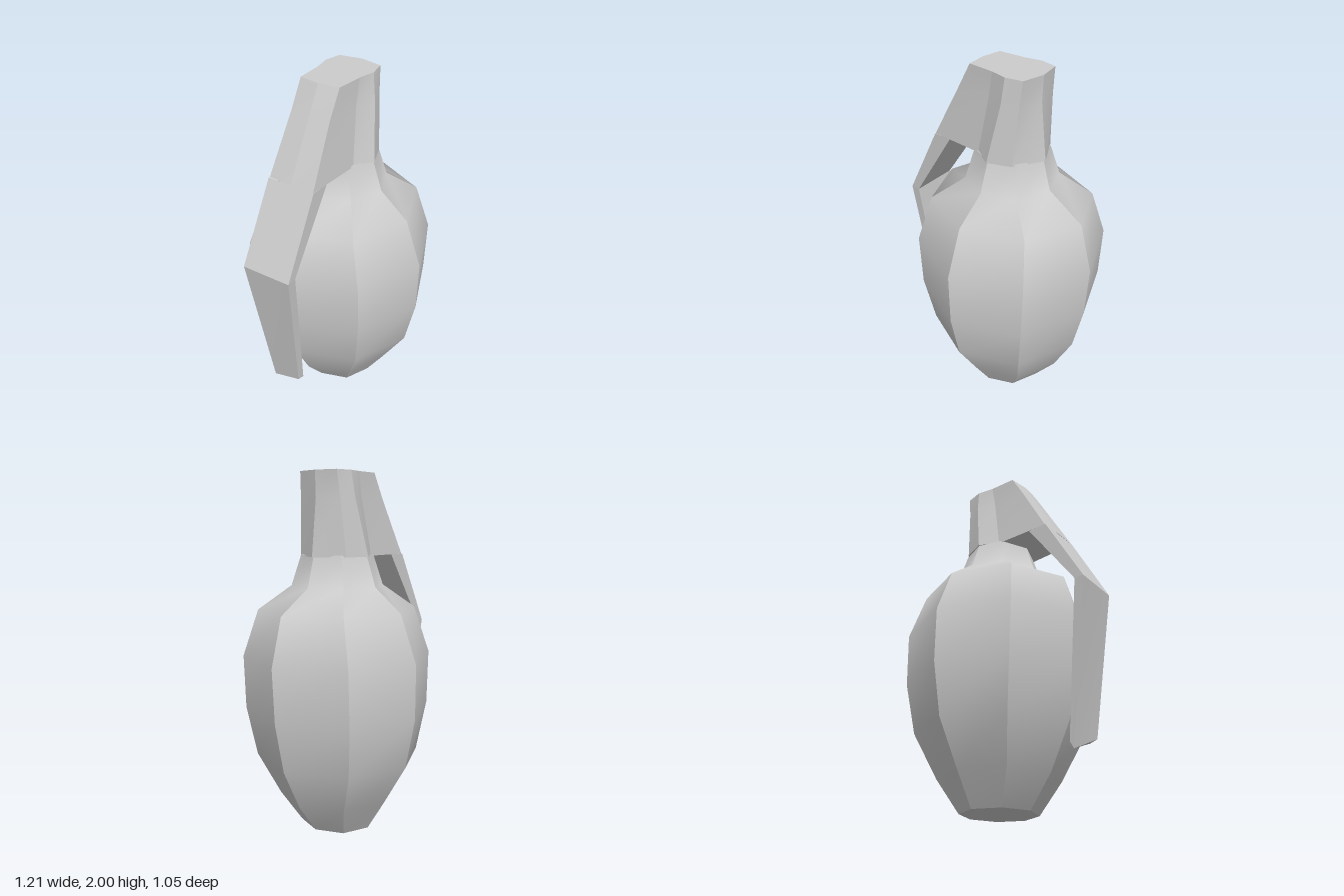
import * as THREE from 'three';

// Loft through rings of [x, y, z], listed upward and counterclockwise from above.
// Each side is its own strip: smooth along its height, sharp between sides.
function loft(name, rings, material, bottom = true, top = true) {
  const pos = [], index = [];
  const n = rings[0].length;
  for (let j = 0; j < n; j++) {
    const base = pos.length / 3;
    rings.forEach((ring, i) => {
      pos.push(...ring[j], ...ring[(j + 1) % n]);
      if (i === 0) return;
      const a = base + 2 * (i - 1);
      index.push(a, a + 1, a + 3, a, a + 3, a + 2);
    });
  }
  const close = (ring, up) => {
    const base = pos.length / 3;
    ring.forEach((p) => pos.push(...p));
    const flat = ring.map(([x, , z]) => new THREE.Vector2(x, -z));
    for (const [a, b, c] of THREE.ShapeUtils.triangulateShape(flat, [])) {
      index.push(base + a, base + (up ? b : c), base + (up ? c : b));
    }
  };
  if (bottom) close(rings[0], false);
  if (top) close(rings[rings.length - 1], true);
  const geometry = new THREE.BufferGeometry();
  geometry.setAttribute('position', new THREE.Float32BufferAttribute(pos, 3));
  geometry.setIndex(index);
  geometry.computeVertexNormals();
  const mesh = new THREE.Mesh(geometry, material);
  mesh.name = name;
  return mesh;
}

export function createModel() {
  const group = new THREE.Group();
  group.name = 'grenade';
  const grey = new THREE.MeshStandardMaterial({ color: 0xcccccc });

  // Eight-sided body with shoulder and neck: [y, radius in x, radius in z]
  const profile = [
    [0, 0.205, 0.22], [0.18, 0.34, 0.33], [0.42, 0.46, 0.47], [0.7, 0.52, 0.525],
    [1.0, 0.535, 0.525], [1.26, 0.46, 0.425], [1.39, 0.25, 0.26], [1.56, 0.2, 0.2],
  ];
  const bodyRings = profile.map(([y, rx, rz]) =>
    Array.from({ length: 8 }, (_, i) => {
      const a = (i * Math.PI) / 4;
      return [0.065 + rx * Math.cos(a), y, -rz * Math.sin(a)];
    }));
  group.add(loft('body', bodyRings, grey));

  // Fuse cap: half outlines mirrored across z
  const capRing = (y, back, half, front) => [
    ...half.map(([x, z]) => [x, y, z]),
    [front, y, 0],
    ...half.map(([x, z]) => [x, y, -z]).reverse(),
    [back, y, 0],
  ];
  const capRings = [
    capRing(1.55, -0.375, [[-0.37, 0.135], [-0.045, 0.15], [0.063, 0.21], [0.19, 0.16]], 0.28),
    capRing(1.86, -0.21, [[-0.2, 0.115], [0.01, 0.125], [0.12, 0.165], [0.21, 0.135]], 0.245),
    capRing(2, -0.135, [[-0.12, 0.115], [0.035, 0.125], [0.13, 0.145], [0.225, 0.125]], 0.25),
  ];
  group.add(loft('fuseCap', capRings, grey));

  // Lever: slanted upper arm, then a lower arm with an obliquely cut tip
  const root = [[-0.375, 1.55, -0.138], [-0.37, 1.55, 0.138], [-0.26, 1.55, 0.138], [-0.26, 1.55, -0.138]];
  const bend = [[-0.61, 1.13, -0.14], [-0.595, 1.13, 0.14], [-0.54, 1.13, 0.14], [-0.555, 1.13, -0.14]];
  const tip = [[-0.478, 0.24, -0.095], [-0.495, 0.325, 0.095], [-0.45, 0.31, 0.095], [-0.455, 0.28, -0.095]];
  group.add(loft('leverUpperArm', [bend, root], grey, false, false));
  group.add(loft('leverLowerArm', [tip, bend], grey, true, false));

  return group;
}
